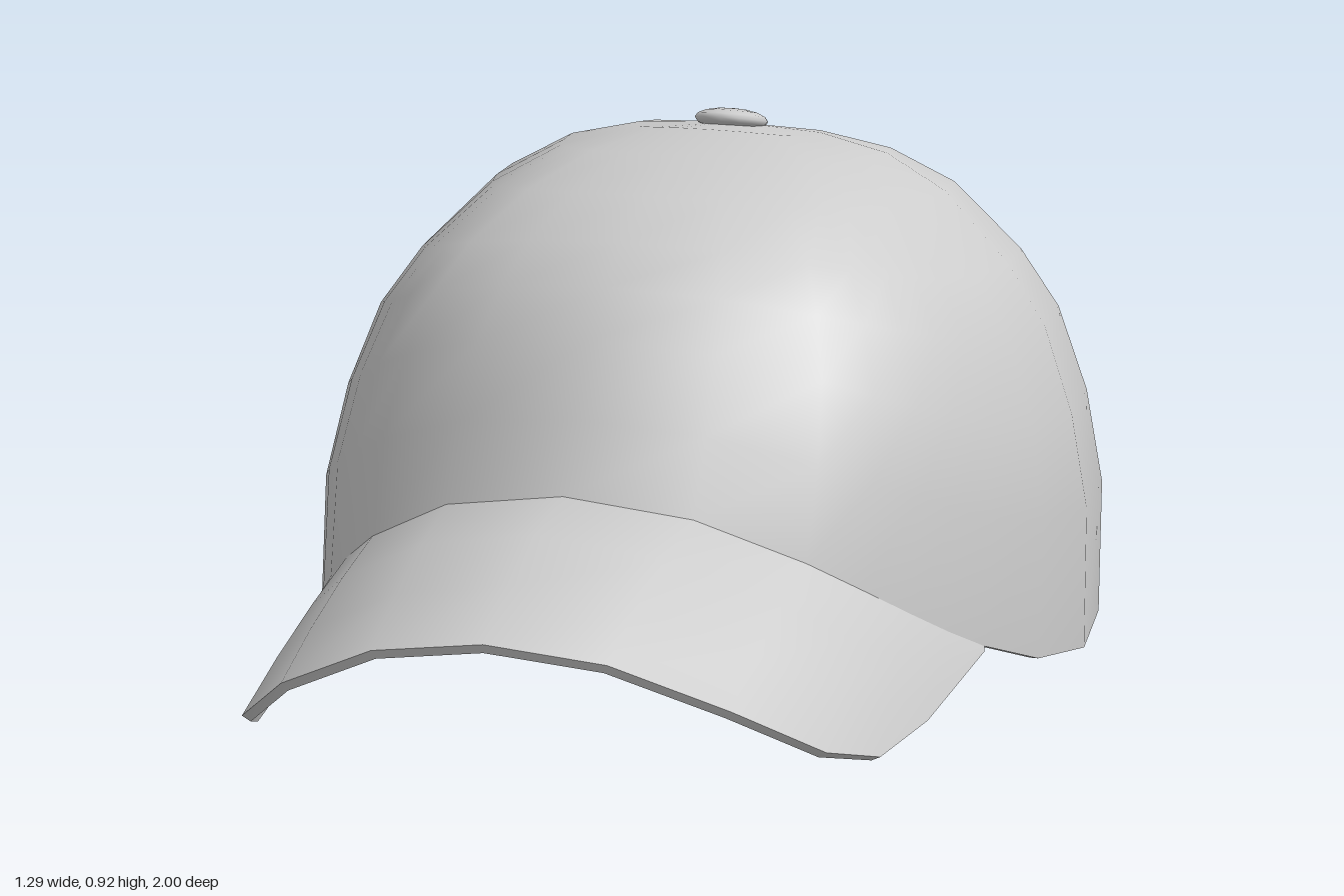
import * as THREE from 'three';

const material = new THREE.MeshStandardMaterial({ color: 0xcccccc, side: THREE.DoubleSide });

// Crown profiles, rim to pole: front and back are [z, y], side is [x, y]
const FRONT = [[0.55, 0.43], [0.48, 0.55], [0.39, 0.67], [0.31, 0.745], [0.22, 0.805], [0.09, 0.86], [-0.1, 0.893], [-0.27, 0.905], [-0.4, 0.893]];
const SIDE = [[0.64, 0.03], [0.643, 0.27], [0.615, 0.43], [0.565, 0.58], [0.5, 0.68], [0.385, 0.8], [0.28, 0.858], [0.16, 0.885], [0, 0.893]];
const BACK = [[-0.98, 0.05], [-1, 0.24], [-0.98, 0.39], [-0.94, 0.5], [-0.87, 0.61], [-0.76, 0.71], [-0.62, 0.795], [-0.5, 0.853], [-0.4, 0.893]];
// Angles round the crown, from the front to the back
const ANGLES = [0, 18, 35, 44, 52, 59, 66, 78, 90, 113, 136, 160, 180];
// Outer edge of the brim, from the middle to its left corner
const BRIM_EDGE = [[0, 0.262, 1], [0.21, 0.232, 0.965], [0.4, 0.145, 0.87], [0.52, 0.05, 0.71], [0.562, 0.012, 0.54], [0.58, 0.035, 0.33], [0.592, 0.1, 0.05]];

// Point on the crown at profile step k and angle in degrees (negative = right)
function crownPoint(k, degrees) {
  const a = THREE.MathUtils.degToRad(Math.abs(degrees));
  const isFront = Math.abs(degrees) <= 90;
  const power = isFront ? 0.91 : 1;
  const across = Math.pow(Math.abs(Math.sin(a)), power);
  const along = Math.pow(Math.abs(Math.cos(a)), power);
  const [endZ, endY] = (isFront ? FRONT : BACK)[k];
  const [sideX, sideY] = SIDE[k];
  const sideZ = -0.36 - 0.04 * k / 8;
  let y = sideY + (endY - sideY) * along * along;
  if (k === 0 && !isFront) y += 0.02 * Math.sin(2 * a) ** 2;
  return new THREE.Vector3(
    Math.sign(degrees) * sideX * across, y, sideZ + (endZ - sideZ) * along);
}

// Skin through rows of points
function loft(rows, closed) {
  const n = rows[0].length;
  const index = [];
  for (let r = 0; r < rows.length - 1; r++) {
    for (let c = 0; c < (closed ? n : n - 1); c++) {
      const d = (c + 1) % n;
      const a = r * n + c, b = a + n, e = r * n + d, f = e + n;
      index.push(a, b, e, b, f, e);
    }
  }
  const geometry = new THREE.BufferGeometry().setFromPoints(rows.flat());
  geometry.setIndex(index);
  geometry.computeVertexNormals();
  return geometry;
}

// Thick cloth: the outer skin, a narrow edge wall and an inner skin
function shell(rows, closed, thickness) {
  const n = rows[0].length;
  const normals = loft(rows, closed).attributes.normal;
  const inner = rows.map((row, r) => row.map((p, c) =>
    p.clone().addScaledVector(
      new THREE.Vector3().fromBufferAttribute(normals, r * n + c), -thickness)));
  inner.reverse();
  const group = new THREE.Group();
  const add = (name, skin) => {
    const mesh = new THREE.Mesh(loft(skin, closed), material);
    mesh.name = name;
    group.add(mesh);
  };
  add('outerSkin', rows);
  add('edge', [rows[rows.length - 1], inner[0]]);
  add('innerSkin', inner);
  return group;
}

export function createModel() {
  const cap = new THREE.Group();
  cap.name = 'cap';

  // Crown, lofted from the pole down to the rim
  const round = [...ANGLES, ...ANGLES.slice(1, -1).reverse().map(a => -a)];
  const crownRows = SIDE.map((_, k) => round.map(a => crownPoint(k, a))).reverse();
  const crown = shell(crownRows, true, 0.016);
  crown.name = 'crown';
  cap.add(crown);

  // Brim, from the front of the rim out to its curved edge
  const brimRows = [0, 0.33, 0.67, 1].map(v => {
    const row = [];
    for (let i = -6; i <= 6; i++) {
      const j = Math.abs(i);
      const [x, y, z] = BRIM_EDGE[j];
      const p = crownPoint(0, Math.sign(i) * ANGLES[j])
        .lerp(new THREE.Vector3(Math.sign(i) * x, y, z), v);
      p.y += 0.08 * v * (1 - v) * (1 - j / 6);
      row.push(p);
    }
    return row;
  });
  const brim = shell(brimRows, false, 0.018);
  brim.name = 'brim';
  cap.add(brim);

  // Button on top
  const button = new THREE.Mesh(new THREE.SphereGeometry(0.064, 12, 8), material);
  button.name = 'button';
  button.scale.y = 0.3;
  button.position.set(0, 0.897, -0.4);
  button.rotation.x = -0.25;
  cap.add(button);

  return cap;
}
